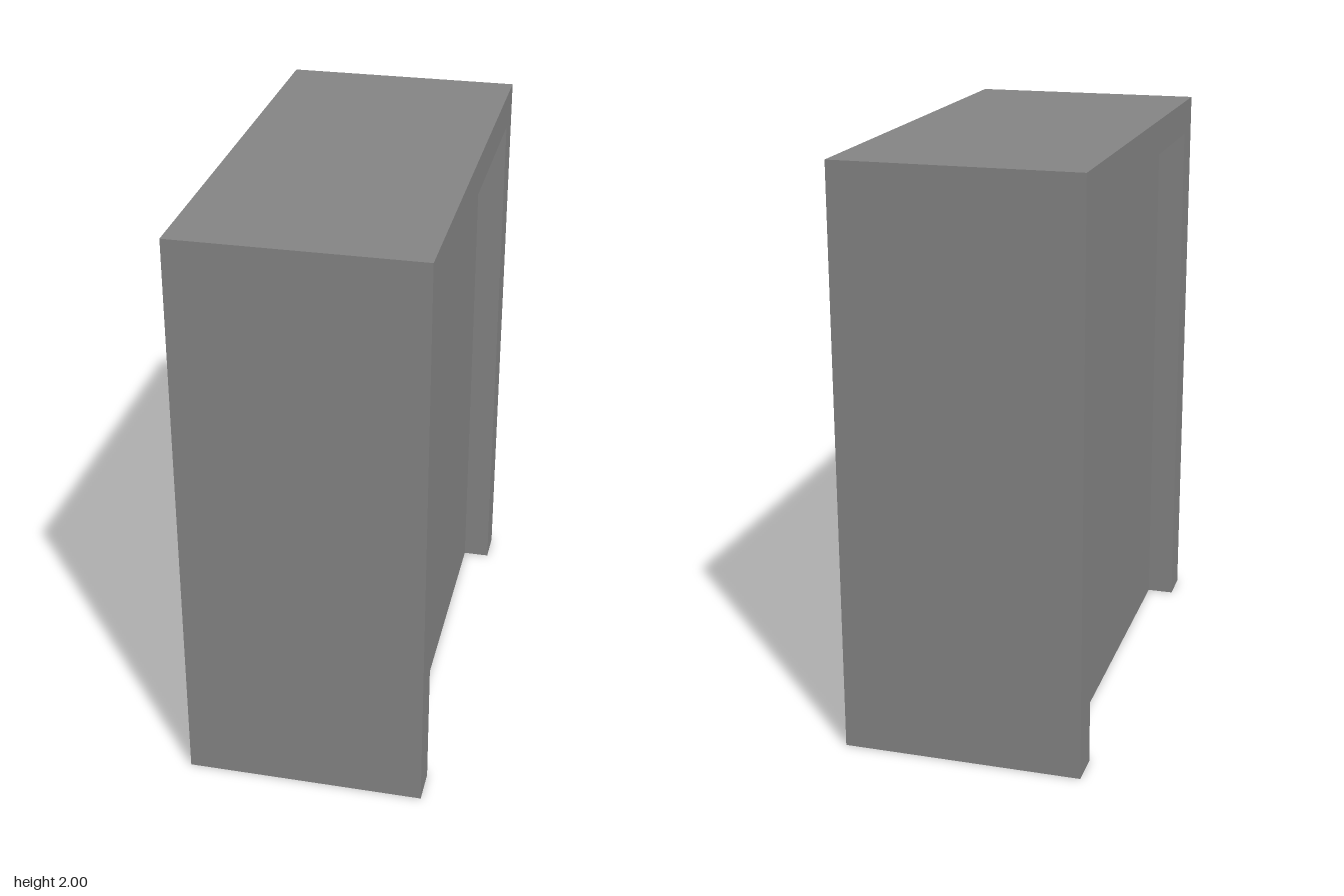
import * as THREE from 'three';

const WIDTH = 0.82, HEIGHT = 2, DEPTH = 1.65;       // overall x, y, z
const OPEN_HALF = 0.702, OPEN_TOP = 1.878;          // doorway opening
const RECESS = 0.095;                               // panel set back on each side

export function createModel() {
  const group = new THREE.Group();
  group.name = 'doorway';
  const grey = new THREE.MeshStandardMaterial({ color: 0x868686 });
  grey.name = 'grey';

  // Surround: an upside-down U, open at the floor, running the full thickness
  const h = DEPTH / 2;
  const outline = new THREE.Shape([
    [-h, 0], [-OPEN_HALF, 0], [-OPEN_HALF, OPEN_TOP], [OPEN_HALF, OPEN_TOP],
    [OPEN_HALF, 0], [h, 0], [h, HEIGHT], [-h, HEIGHT],
  ].map(([x, y]) => new THREE.Vector2(x, y)));
  const frameGeometry = new THREE.ExtrudeGeometry(outline, { depth: WIDTH, bevelEnabled: false });
  frameGeometry.translate(0, 0, -WIDTH / 2).rotateY(Math.PI / 2);
  const frame = new THREE.Mesh(frameGeometry, grey);
  frame.name = 'frame';
  group.add(frame);

  // Panel filling the opening, recessed from both sides
  const panel = new THREE.Mesh(
    new THREE.BoxGeometry(WIDTH - 2 * RECESS, OPEN_TOP, 2 * OPEN_HALF), grey);
  panel.name = 'panel';
  panel.position.y = OPEN_TOP / 2;
  group.add(panel);

  return group;
}
